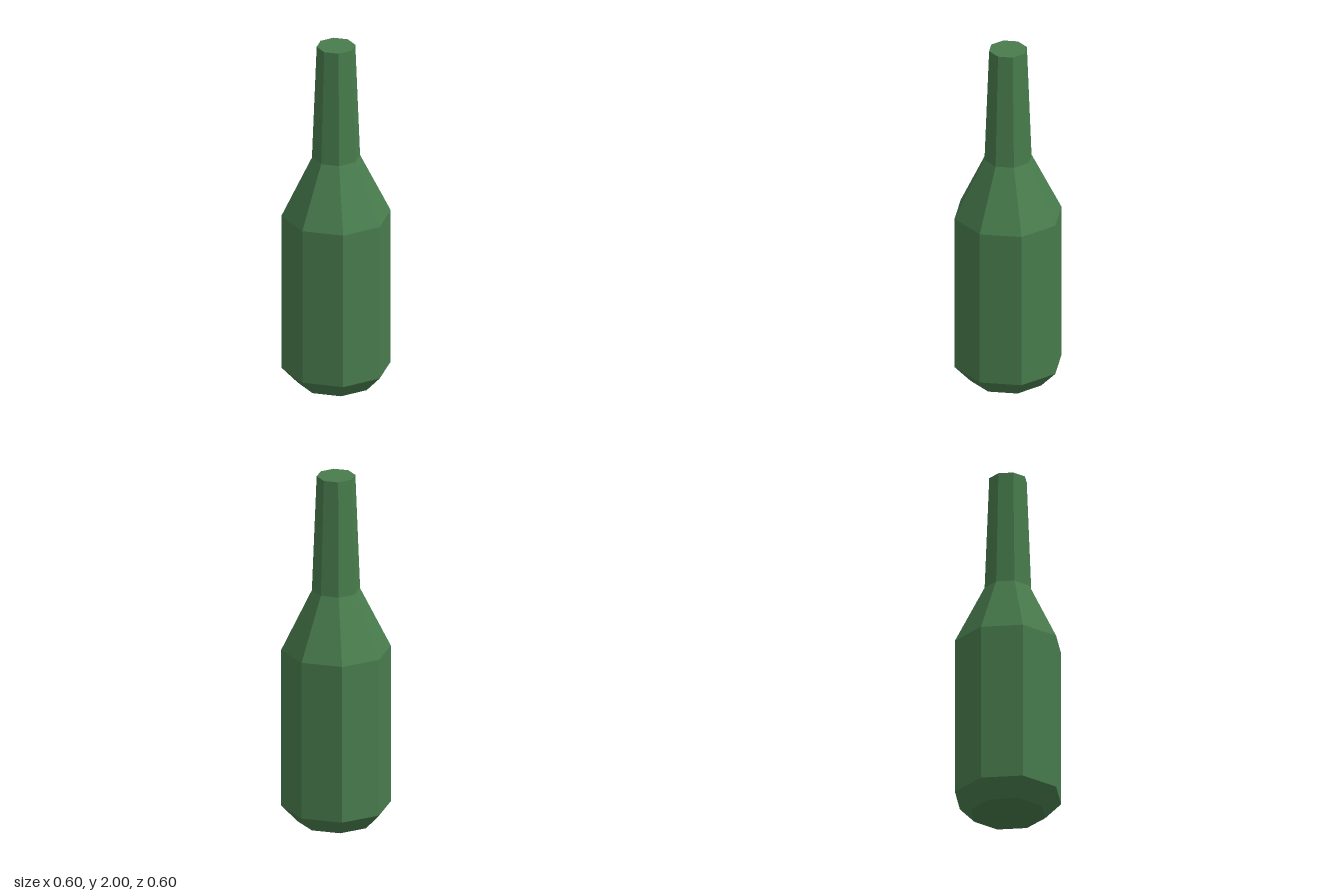
import * as THREE from 'three';

const SIDES = 8;

export function createModel() {
  const group = new THREE.Group();
  group.name = 'bottle';

  const greenGlass = new THREE.MeshStandardMaterial({ color: 0x487c4d, flatShading: true });
  greenGlass.name = 'green glass';

  const add = (name, geometry, y) => {
    const mesh = new THREE.Mesh(geometry, greenGlass);
    mesh.name = name;
    mesh.position.y = y;
    group.add(mesh);
  };

  // Faceted wall sections: name, lower y, lower radius, upper y, upper radius
  const sections = [
    ['baseBevel', 0, 0.21, 0.095, 0.3],
    ['body', 0.095, 0.3, 1.0, 0.3],
    ['shoulder', 1.0, 0.3, 1.34, 0.132],
    ['neck', 1.34, 0.132, 2.0, 0.106],
  ];
  for (const [name, y0, r0, y1, r1] of sections) {
    add(name, new THREE.CylinderGeometry(r1, r0, y1 - y0, SIDES, 1, true), (y0 + y1) / 2);
  }

  // Flat caps closing the bottom and the mouth
  add('bottom', new THREE.CircleGeometry(0.21, SIDES).rotateX(Math.PI / 2), 0);
  add('mouth', new THREE.CircleGeometry(0.106, SIDES).rotateX(-Math.PI / 2), 2);

  return group;
}
